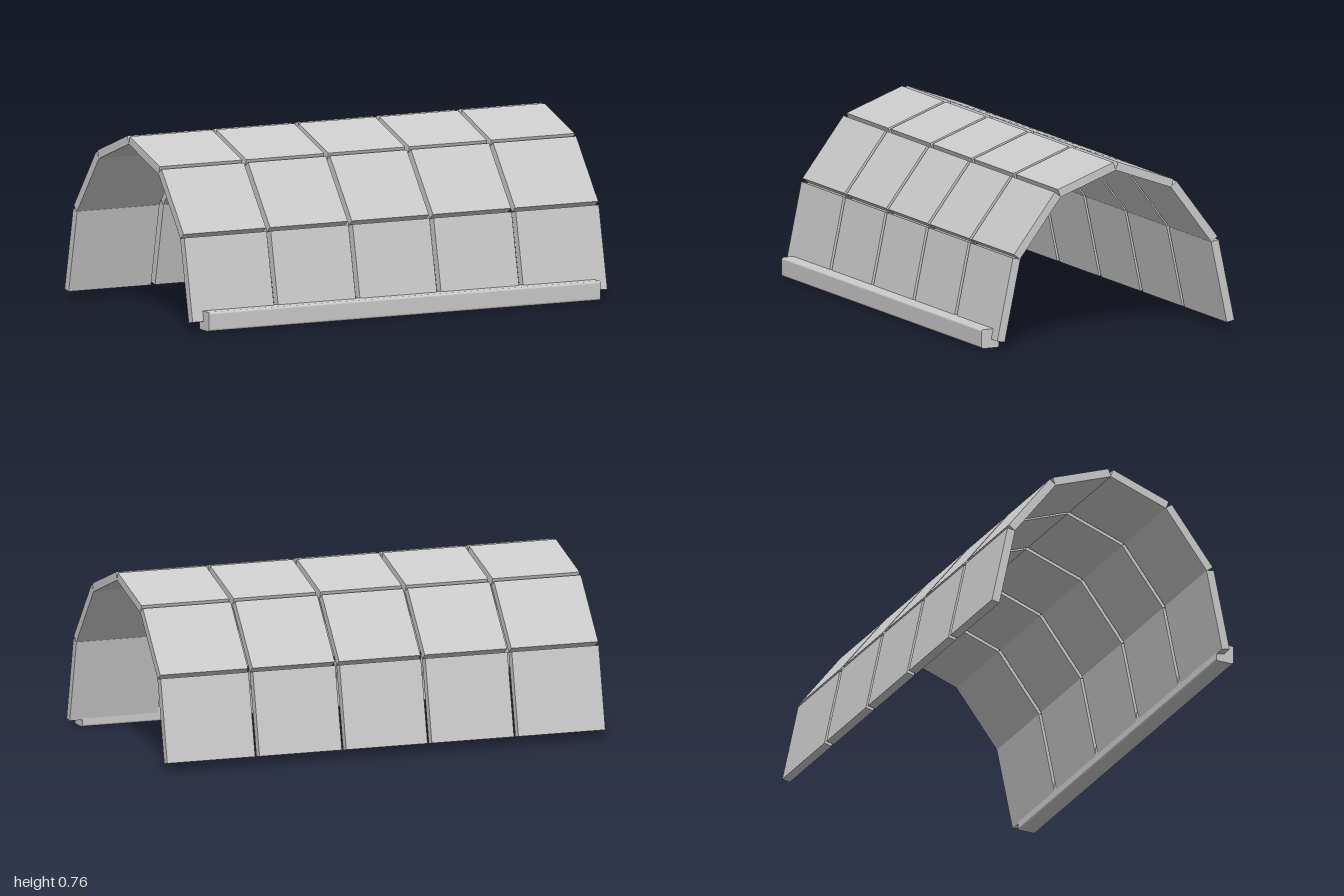
import * as THREE from 'three';

const THICKNESS = 0.036;
const ARCH_Z = -0.02; // the arch sits slightly behind the centre

// Panel ends on one side of the arch: [outward distance, height] from bottom to top
const ROWS = [
  { name: 'lowerPanel', from: [0.542, 0.036], to: [0.468, 0.387] },
  { name: 'middlePanel', from: [0.466, 0.394], to: [0.273, 0.647] },
  { name: 'roofPanel', from: [0.267, 0.651], to: [0.005, 0.746] },
];

// Panel spans along the length, with open slots between them
const COLUMNS = [
  [-1, -0.603], [-0.583, -0.208], [-0.188, 0.183], [0.203, 0.579], [0.599, 1],
];

export function createModel() {
  const model = new THREE.Group();
  model.name = 'archedShelter';
  const grey = new THREE.MeshStandardMaterial({ color: 0xcccccc });
  grey.name = 'light grey';

  // Flat slabs around the arch, mirrored front to back
  for (const [side, sideName] of [[1, 'front'], [-1, 'back']]) {
    const shell = new THREE.Group();
    shell.name = `${sideName}Shell`;
    for (const { name, from, to } of ROWS) {
      const dz = (to[0] - from[0]) * side;
      const dy = to[1] - from[1];
      for (const [x0, x1] of COLUMNS) {
        const slab = new THREE.Mesh(
          new THREE.BoxGeometry(x1 - x0, Math.hypot(dy, dz), THICKNESS), grey);
        slab.name = name;
        slab.position.set((x0 + x1) / 2, (from[1] + to[1]) / 2,
          ARCH_Z + side * (from[0] + to[0]) / 2);
        slab.rotation.x = Math.atan2(dz, dy);
        shell.add(slab);
      }
    }
    model.add(shell);
  }

  // Base rail along the front foot: a square bar with small rounded edges
  const h = 0.041, r = 0.01;
  const section = new THREE.Shape();
  section.moveTo(h, h - r);
  for (let i = 0; i < 4; i++) {
    const a = i * Math.PI / 2;
    const cx = (i === 0 || i === 3 ? 1 : -1) * (h - r);
    const cy = (i < 2 ? 1 : -1) * (h - r);
    section.absarc(cx, cy, r, a, a + Math.PI / 2, false);
  }
  section.closePath();
  const railGeometry = new THREE.ExtrudeGeometry(section,
    { depth: 1.89, bevelEnabled: false, curveSegments: 4 });
  railGeometry.translate(0, 0, -0.945);
  railGeometry.rotateY(Math.PI / 2);
  const rail = new THREE.Mesh(railGeometry, grey);
  rail.name = 'baseRail';
  rail.position.set(-0.002, 0.043, 0.544);
  model.add(rail);

  return model;
}
